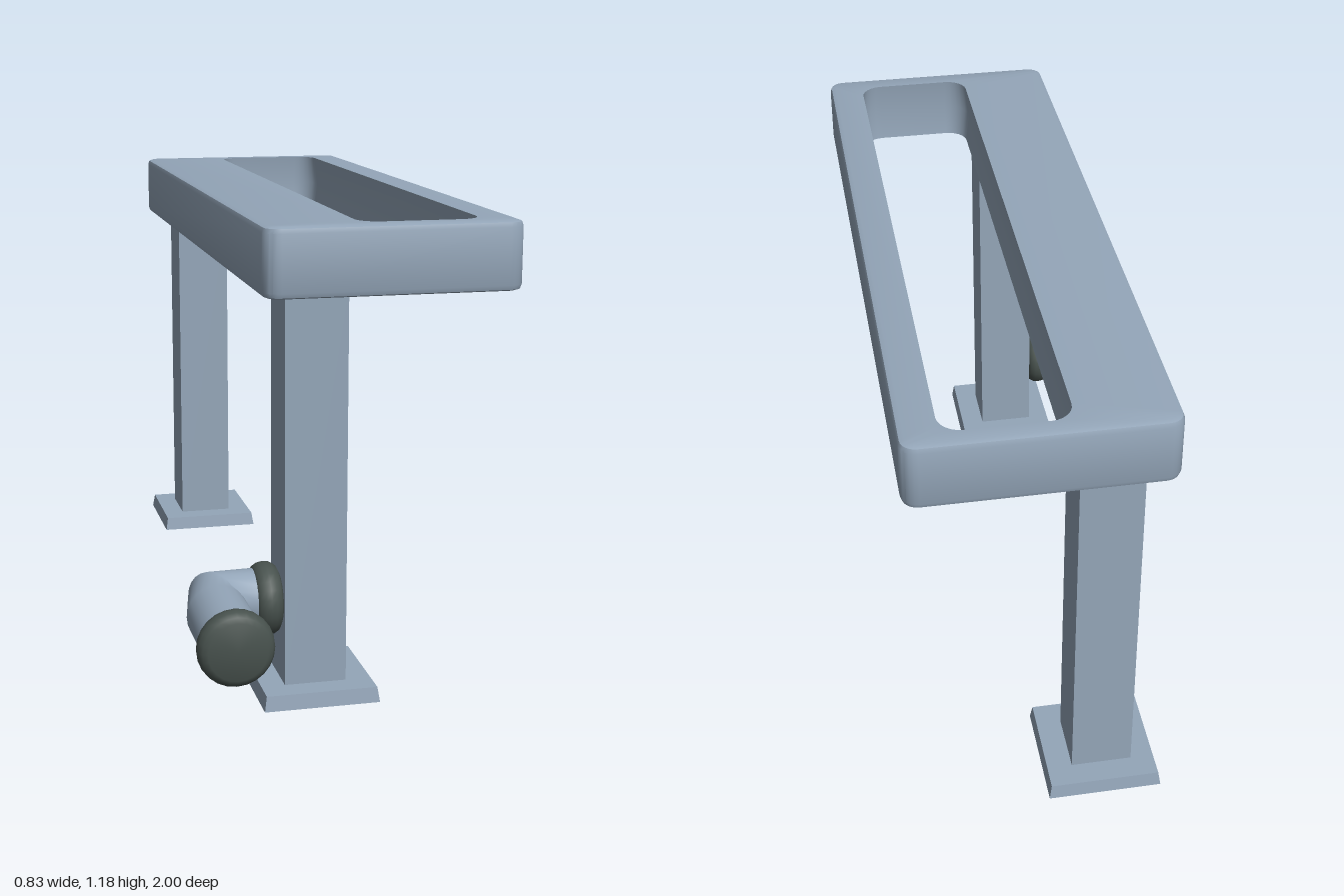
import * as THREE from 'three';
import { toCreasedNormals } from 'three/addons/utils/BufferGeometryUtils.js';

const paint = new THREE.MeshStandardMaterial({ color: 0x94a6b9 });
paint.name = 'blue grey paint';
const rubber = new THREE.MeshStandardMaterial({ color: 0x48524e });
rubber.name = 'dark rubber';

// Joins closed rings of equal length with quads
function loft(rings, crease) {
  const n = rings[0].length, index = [];
  for (let i = 0; i < rings.length - 1; i++) {
    for (let j = 0; j < n; j++) {
      const a = i * n + j, b = i * n + (j + 1) % n;
      index.push(a, a + n, b, b, a + n, b + n);
    }
  }
  const g = new THREE.BufferGeometry().setFromPoints(rings.flat());
  g.setIndex(index);
  g.computeVertexNormals();
  return crease ? toCreasedNormals(g, crease) : g;
}

// Horizontal rounded rectangle at height y
function roundedRing(x0, x1, z0, z1, r, y, inset = 0) {
  const pts = [], steps = 6, rad = r - inset;
  const corners = [[x1 - r, z1 - r], [x0 + r, z1 - r], [x0 + r, z0 + r], [x1 - r, z0 + r]];
  corners.forEach(([cx, cz], q) => {
    for (let k = 0; k <= steps; k++) {
      const a = (q + k / steps) * Math.PI / 2;
      pts.push(new THREE.Vector3(cx + Math.cos(a) * rad, y, cz + Math.sin(a) * rad));
    }
  });
  return pts;
}

export function createModel() {
  const model = new THREE.Group();
  const add = (name, geometry, material, x = 0, y = 0, z = 0) => {
    const mesh = new THREE.Mesh(geometry, material);
    mesh.name = name;
    mesh.position.set(x, y, z);
    model.add(mesh);
    return mesh;
  };

  // Top frame: softened outside edges and an offset long slot
  const y0 = 1.012, y1 = 1.18;
  const outer = (y, inset) => roundedRing(-0.22, 0.413, -1, 0.815, 0.04, y, inset);
  const slot = (y, inset) => roundedRing(0.02, 0.322, -0.95, 0.757, 0.055, y, inset);
  add('topFrame', loft([
    slot(y0, 0),
    outer(y0, 0.015), outer(y0 + 0.004, 0.004), outer(y0 + 0.015, 0),
    outer(y1 - 0.015, 0), outer(y1 - 0.004, 0.004), outer(y1, 0.015),
    slot(y1, 0), slot((y0 + y1) / 2, -0.01), slot(y0, 0),
  ], 0.6), paint);

  // Legs with tapered foot plates
  for (const [end, z] of [['front', 0.66], ['back', -0.84]]) {
    add(end + 'Leg', new THREE.BoxGeometry(0.155, 0.99, 0.155), paint, -0.0775, 0.525, z);
    const foot = new THREE.BoxGeometry(0.29, 0.038, 0.29);
    const p = foot.attributes.position;
    for (let i = 0; i < p.count; i++) {
      if (p.getY(i) > 0) p.setXYZ(i, p.getX(i) * 0.96, p.getY(i), p.getZ(i) * 0.96);
    }
    foot.computeVertexNormals();
    add(end + 'Foot', foot, paint, -0.075, 0.019, z);
  }

  // Elbow pipe: sections given as x, z and heading angle
  const pipeY = 0.239, pipeR = 0.076, sides = 24;
  const sections = [[-0.16, 0.655, 0], [-0.22, 0.655, 0], [-0.317, 0.655, Math.PI / 4],
    [-0.324, 0.75, Math.PI / 2], [-0.324, 0.95, Math.PI / 2]];
  const pipe = loft(sections.map(([x, z, h]) => Array.from({ length: sides }, (_, j) => {
    const a = -j / sides * Math.PI * 2, s = Math.cos(a) * pipeR;
    return new THREE.Vector3(x + Math.sin(h) * s, pipeY + Math.sin(a) * pipeR, z + Math.cos(h) * s);
  })));
  const pipeMesh = add('elbowPipe', pipe, paint);
  pipeMesh.material = paint;

  // Rounded rubber collars at both pipe ends
  const profile = [[0, 0], [0.07, 0], [0.082, 0.006], [0.09, 0.019], [0.092, 0.033],
    [0.09, 0.046], [0.082, 0.059], [0.07, 0.065], [0, 0.065]].map(([r, y]) => new THREE.Vector2(r, y));
  const collar = toCreasedNormals(new THREE.LatheGeometry(profile, sides), 0.7);
  add('pipeEndCap', collar, rubber, -0.324, pipeY, 0.935).rotation.x = Math.PI / 2;
  add('legCollar', collar, rubber, -0.155, pipeY, 0.657).rotation.z = Math.PI / 2;

  return model;
}
